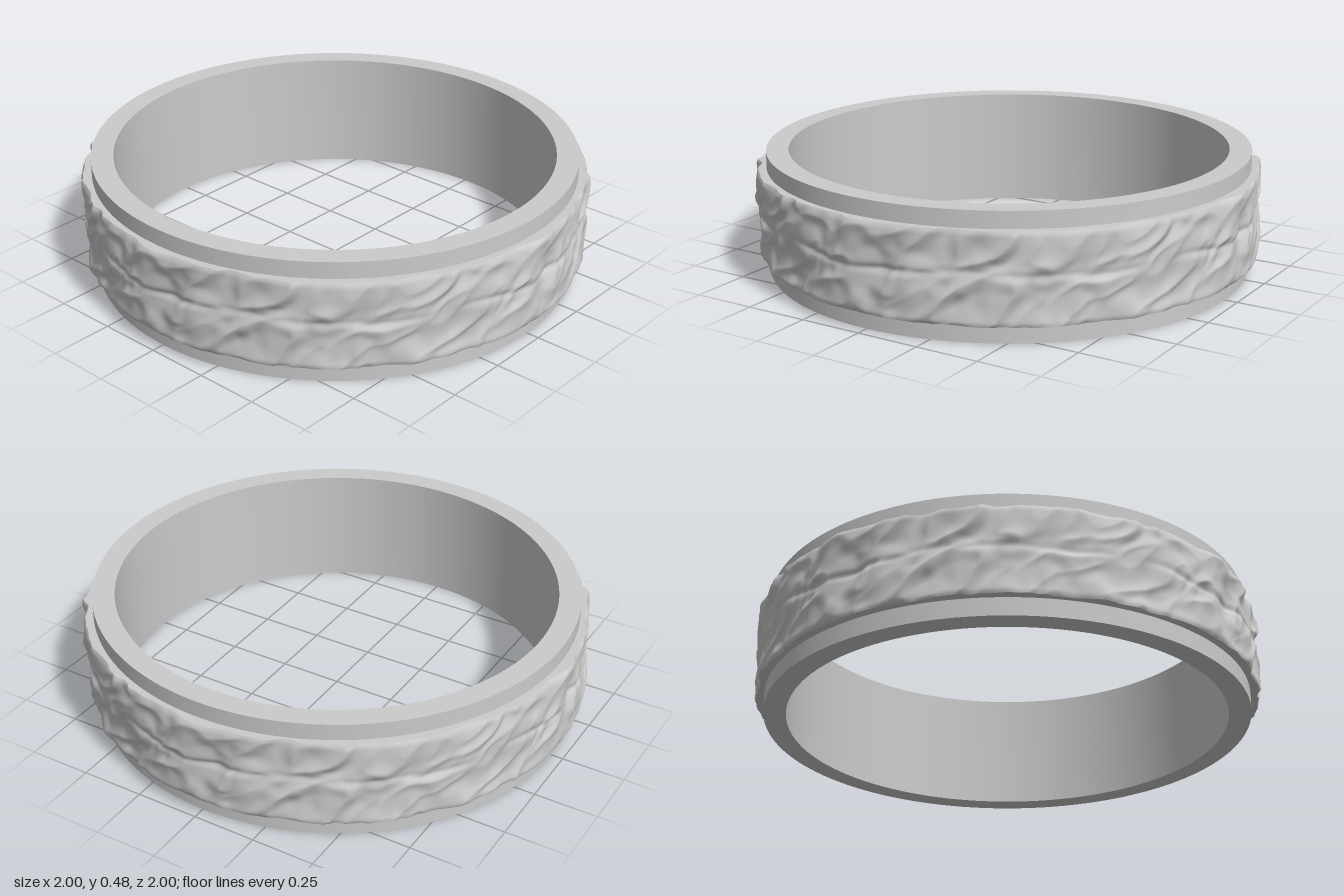
import * as THREE from 'three';
import { toCreasedNormals } from 'three/addons/utils/BufferGeometryUtils.js';

const Y0 = 0.07, Y1 = 0.415, CORE = 0.95;
const QUARTER = 192, SEG = QUARTER * 4, ROWS = 52; // relief repeats every quarter turn

// Seeded gradient noise, periodic in u
function hash(i, j, seed) {
  let h = Math.imul(i, 374761393) ^ Math.imul(j, 668265263) ^ Math.imul(seed, 1274126177);
  h = Math.imul(h ^ (h >>> 13), 1103515245);
  return ((h ^ (h >>> 16)) >>> 0) / 4294967296;
}
function noise(u, v, period, seed) {
  const i = Math.floor(u), j = Math.floor(v), fu = u - i, fv = v - j;
  const fade = t => t * t * t * (t * (t * 6 - 15) + 10);
  const corner = (a, b) => {
    const k = (((i + a) % period) + period) % period;
    const t = hash(k, j + b, seed) * Math.PI * 2;
    return Math.cos(t) * (fu - a) + Math.sin(t) * (fv - b);
  };
  const lerp = THREE.MathUtils.lerp;
  return lerp(
    lerp(corner(0, 0), corner(1, 0), fade(fu)),
    lerp(corner(0, 1), corner(1, 1), fade(fu)), fade(fv)) * 1.4;
}

// Hammered, rock-like height field; u in 0..1 over a quarter turn, v in 0..1 up the band
function relief(u, v) {
  const w = u + 0.03 * noise(u * 8, v * 2, 8, 5);
  const q = v + 0.12 * noise(u * 9, v * 2 + 7, 9, 6);
  const broad = noise(w * 9 - q * 1.2, q * 2, 9, 1);
  const ridges = 1 - Math.abs(noise(w * 11 - q * 2, q * 2.2, 11, 2)) * 2;
  const fine = noise(w * 24 - q * 2, q * 5, 24, 3);
  const seam = 0.53 + 0.07 * noise(u * 7, 0.4, 7, 4);
  const crease = Math.exp(-(((v - seam) / 0.04) ** 2)) * (0.5 + noise(u * 6, 3.5, 6, 8));
  return 0.55 * broad + 0.38 * ridges + 0.2 * fine - 0.3 * crease;
}

// Surface wrapped around the axis; point(i, j) returns [radius, y]
function wrap(rows, point) {
  const pos = [], index = [];
  for (let j = 0; j <= rows; j++) {
    for (let i = 0; i < SEG; i++) {
      const a = (i / SEG) * Math.PI * 2, [r, y] = point(i % QUARTER, j);
      pos.push(r * Math.sin(a), y, r * Math.cos(a));
      if (j === rows) continue;
      const n = (i + 1) % SEG, p = j * SEG;
      index.push(p + i, p + n, p + SEG + n, p + i, p + SEG + n, p + SEG + i);
    }
  }
  const g = new THREE.BufferGeometry();
  g.setAttribute('position', new THREE.Float32BufferAttribute(pos, 3));
  g.setIndex(index);
  g.computeVertexNormals();
  return g;
}

export function createModel() {
  const group = new THREE.Group();
  const material = new THREE.MeshStandardMaterial({ color: 0xcccccc });
  const add = (name, geometry) => {
    const mesh = new THREE.Mesh(geometry, material);
    mesh.name = name;
    group.add(mesh);
    return mesh;
  };

  // Plain inner ring with square rims
  const profile = [[0.863, 0], [CORE, 0], [CORE, 0.48], [0.863, 0.48], [0.863, 0]]
    .map(p => new THREE.Vector2(...p));
  add('ring', toCreasedNormals(new THREE.LatheGeometry(profile, 128), 0.6));

  // Sample the relief and note its range and highest column
  const heights = [];
  let low = Infinity, high = -Infinity, peak = 0;
  for (let j = 0; j <= ROWS; j++) {
    heights.push([]);
    for (let i = 0; i < QUARTER; i++) {
      const h = relief(i / QUARTER, j / ROWS);
      heights[j].push(h);
      low = Math.min(low, h);
      if (h > high) { high = h; peak = i; }
    }
  }
  const radius = (i, j) => {
    const edge = Math.max(0, 1 - Math.min(j, ROWS - j) / 3);
    const h = heights[j][(i + peak) % QUARTER]; // highest point sits on the axes
    return 0.958 + 0.042 * (h - low) / (high - low) - 0.006 * edge * edge;
  };

  // Textured band and the flat shoulders that join it to the ring
  add('texturedBand', wrap(ROWS, (i, j) => [radius(i, j), Y0 + (Y1 - Y0) * j / ROWS]));
  add('upperShoulder', wrap(1, (i, j) => [j ? CORE - 0.005 : radius(i, ROWS), Y1]));
  add('lowerShoulder', wrap(1, (i, j) => [j ? radius(i, 0) : CORE - 0.005, Y0]));
  return group;
}
